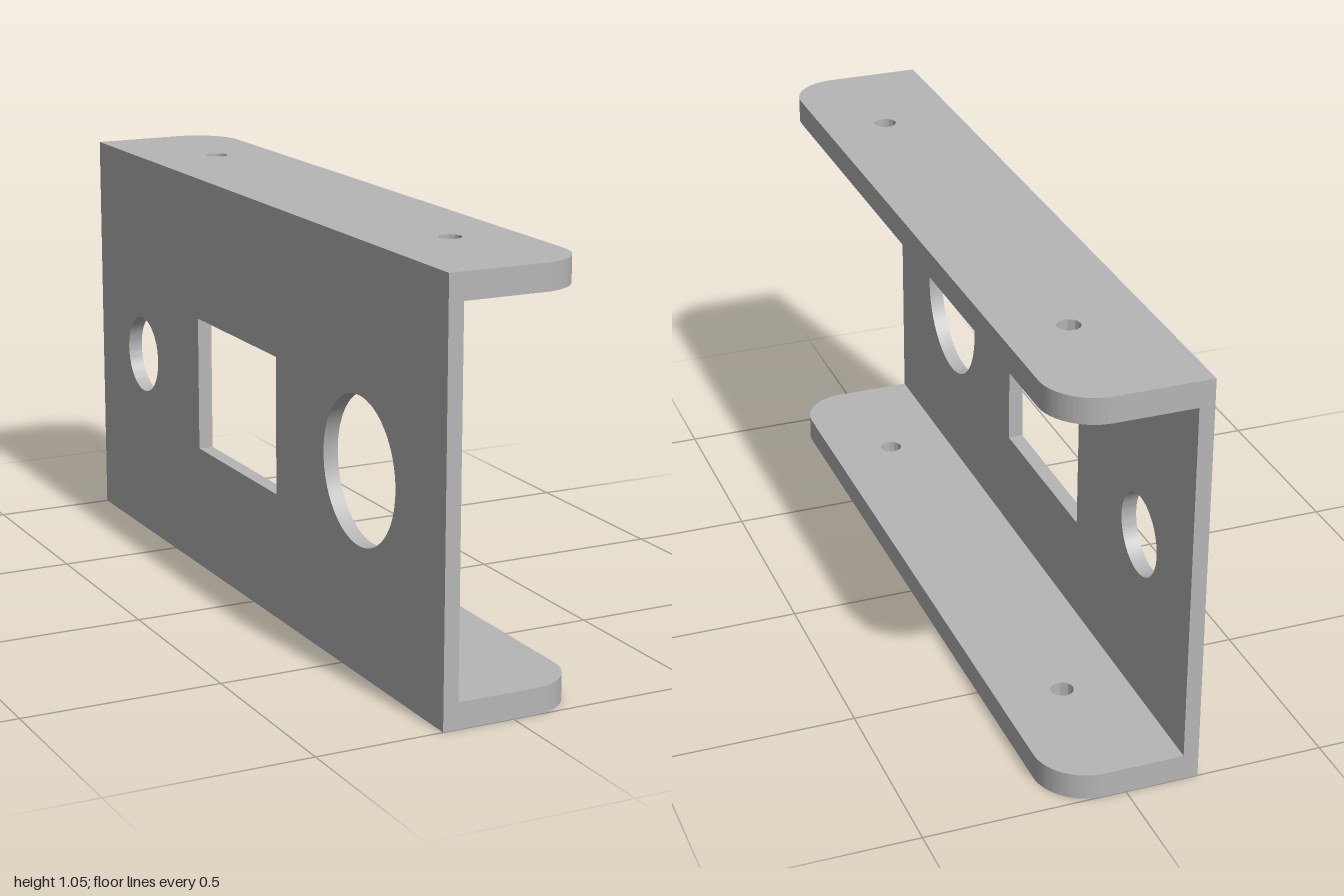
import * as THREE from 'three';
import { toCreasedNormals } from 'three/addons/utils/BufferGeometryUtils.js';

const HALF_W = 0.182, HALF_L = 1, HEIGHT = 1.047;
const FLANGE = 0.065, WEB = 0.038, CORNER = 0.127;

function roundHole(x, y, r) {
  return new THREE.Path().absarc(x, y, r, 0, Math.PI * 2, true);
}

// Flat plate with holes, sharp edges and smooth curved walls
function plate(shape, depth) {
  const geo = new THREE.ExtrudeGeometry(shape, { depth, bevelEnabled: false, curveSegments: 32 });
  return toCreasedNormals(geo, 0.6);
}

export function createModel() {
  const group = new THREE.Group();
  group.name = 'channelBracket';
  const metal = new THREE.MeshStandardMaterial({ color: 0xb6b6b6 });
  metal.name = 'grey metal';

  // Flanges: two rounded outer corners and two screw holes
  const flange = new THREE.Shape();
  flange.moveTo(-HALF_W, -HALF_L);
  flange.lineTo(HALF_W - CORNER, -HALF_L);
  flange.absarc(HALF_W - CORNER, -HALF_L + CORNER, CORNER, -Math.PI / 2, 0, false);
  flange.absarc(HALF_W - CORNER, HALF_L - CORNER, CORNER, 0, Math.PI / 2, false);
  flange.lineTo(-HALF_W, HALF_L);
  flange.closePath();
  for (const z of [-0.647, 0.647]) flange.holes.push(roundHole(0.018, z, 0.028));
  const flangeGeo = plate(flange, FLANGE).rotateX(-Math.PI / 2);

  for (const [name, y] of [['bottomFlange', 0], ['topFlange', HEIGHT - FLANGE]]) {
    const mesh = new THREE.Mesh(flangeGeo, metal);
    mesh.name = name;
    mesh.position.y = y;
    group.add(mesh);
  }

  // Web between the flanges, drawn with the first axis along -z
  const web = new THREE.Shape();
  web.moveTo(-HALF_L, FLANGE);
  web.lineTo(HALF_L, FLANGE);
  web.lineTo(HALF_L, HEIGHT - FLANGE);
  web.lineTo(-HALF_L, HEIGHT - FLANGE);
  web.closePath();
  web.holes.push(roundHole(-0.584, 0.5, 0.182), roundHole(0.707, 0.5, 0.103));
  const slot = new THREE.Path();
  slot.moveTo(-0.14, 0.324);
  slot.lineTo(-0.14, 0.676);
  slot.lineTo(0.332, 0.676);
  slot.lineTo(0.332, 0.324);
  slot.closePath();
  web.holes.push(slot);

  const webMesh = new THREE.Mesh(plate(web, WEB).rotateY(Math.PI / 2), metal);
  webMesh.name = 'web';
  webMesh.position.x = -HALF_W;
  group.add(webMesh);

  return group;
}
